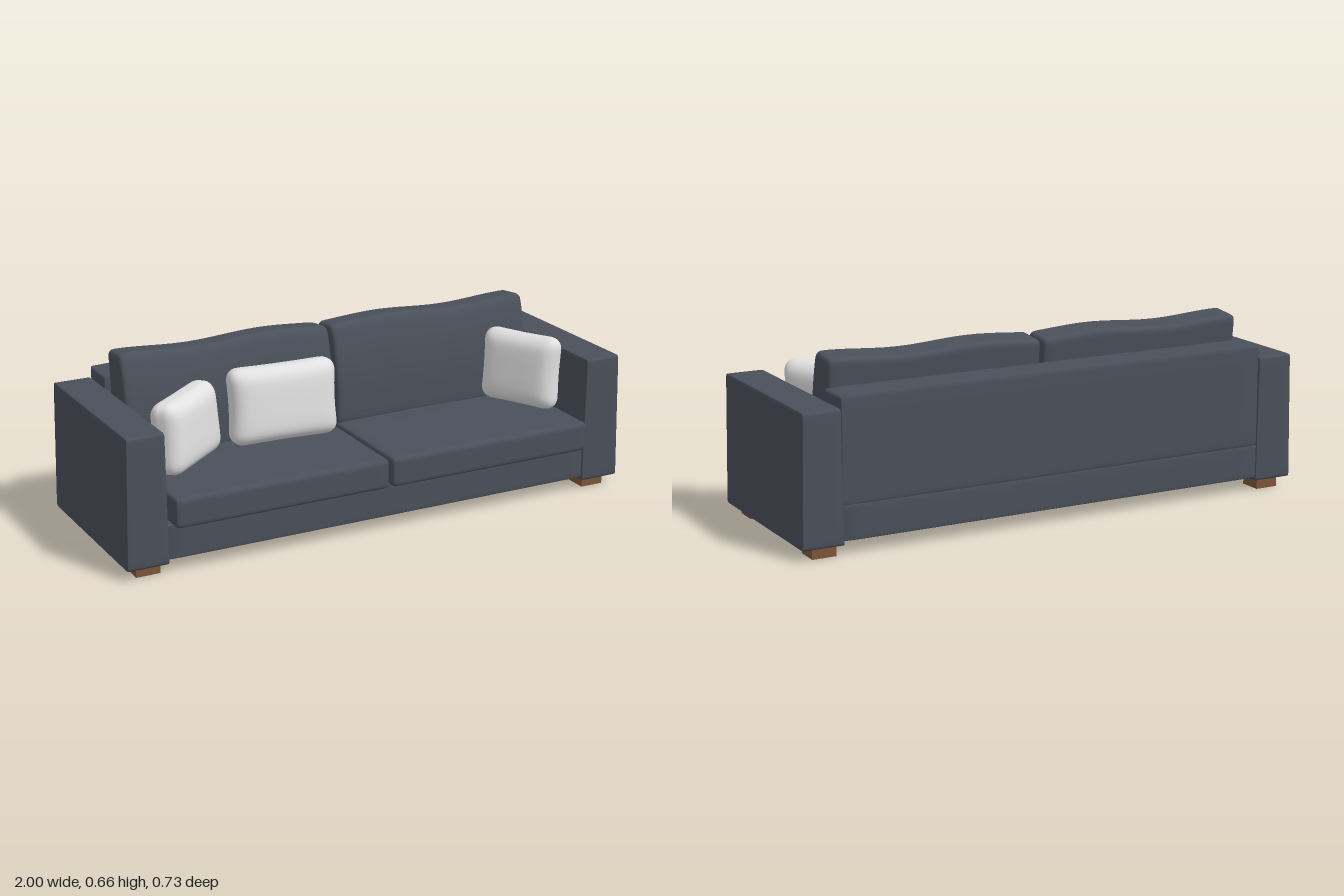
import * as THREE from 'three';
import { mergeVertices } from 'three/addons/utils/BufferGeometryUtils.js';

const material = (name, color) => {
  const m = new THREE.MeshStandardMaterial({ color });
  m.name = name;
  return m;
};

// Rounded box with a fine grid, so a rule can bend it afterwards
function softBox(w, h, d, r, rule, n = 20) {
  let g = new THREE.BoxGeometry(w, h, d, n, n, n);
  g.deleteAttribute('uv');
  g.deleteAttribute('normal');
  g = mergeVertices(g, 1e-5);
  const half = new THREE.Vector3(w / 2, h / 2, d / 2);
  const core = half.clone().subScalar(r);
  const low = core.clone().negate();
  const p = new THREE.Vector3(), inner = new THREE.Vector3();
  const pos = g.attributes.position;
  for (let i = 0; i < pos.count; i++) {
    p.fromBufferAttribute(pos, i);
    // crowd the grid lines towards the edges
    for (const k of ['x', 'y', 'z']) p[k] = half[k] * Math.sin((p[k] / half[k]) * Math.PI / 2);
    inner.copy(p).clamp(low, core);
    p.sub(inner).setLength(r).add(inner);
    if (rule) rule(p);
    pos.setXYZ(i, p.x, p.y, p.z);
  }
  g.computeVertexNormals();
  return g;
}

export function createModel() {
  const group = new THREE.Group();
  group.name = 'sofa';
  const fabric = material('slate fabric', 0x4a505a);
  const linen = material('white linen', 0xe0e0e0);
  const wood = material('brown wood', 0x7b5539);

  const add = (name, geometry, mat, x, y, z) => {
    const mesh = new THREE.Mesh(geometry, mat);
    mesh.name = name;
    mesh.position.set(x, y, z);
    group.add(mesh);
    return mesh;
  };

  // Base rail and back panel
  add('base', softBox(1.7, 0.13, 0.68, 0.008, null, 8), fabric, 0, 0.115, -0.022);
  add('backPanel', softBox(1.69, 0.382, 0.14, 0.008, null, 8), fabric, 0, 0.366, -0.293);

  for (const side of [-1, 1]) {
    const label = side > 0 ? 'left' : 'right';

    // Arm, narrowing slightly towards the top
    const arm = softBox(0.158, 0.477, 0.69, 0.008, (p) => {
      const t = p.y / 0.477 + 0.5;
      p.x *= 1 - 0.1 * t;
      p.x -= side * 0.003 * t;
      p.y += 0.005 * t * p.z;
    }, 10);
    add(label + 'Arm', arm, fabric, side * 0.92, 0.2765, -0.02);

    // Feet
    for (const [end, z] of [['Front', 0.25], ['Back', -0.3]]) {
      add(label + end + 'Foot', new THREE.BoxGeometry(0.09, 0.04, 0.087), wood, side * 0.91, 0.02, z);
    }

    // Seat cushion with a gently crowned top
    const seat = softBox(0.824, 0.112, 0.57, 0.018, (p) => {
      const crown = Math.cos(p.x / 0.824 * Math.PI) * Math.cos(p.z / 0.57 * Math.PI);
      if (p.y > 0) p.y += 0.008 * crown;
    });
    add(label + 'SeatCushion', seat, fabric, side * 0.418, 0.232, 0.08);

    // Back cushion: upright at the foot, leaning back above, with a wavy top
    const h = 0.375, d = 0.14;
    const back = softBox(0.824, h, d, 0.022, (p) => {
      const t = THREE.MathUtils.clamp(p.y / h + 0.5, 0, 1);
      const f = p.z / d + 0.5;
      const front = -0.058 - 0.055 * t ** 3;
      const rear = -0.2 - 0.033 * t;
      p.z = rear + (front - rear) * f;
      p.y += t * t * (0.014 * (f - 0.5) + 0.007 * Math.cos(p.x * 11 - side * 1.2 + Math.PI));
    }, 24);
    add(label + 'BackCushion', back, fabric, side * 0.418, 0.465, 0);
  }

  // Loose pillows: width, height, depth, position, turn, lean
  const pillows = [
    ['cornerPillow', 0.35, 0.265, 0.135, [-0.66, 0.425, 0.068], 0.68, -0.1],
    ['middlePillow', 0.42, 0.285, 0.13, [-0.255, 0.438, 0.003], -0.06, -0.1],
    ['armPillow', 0.325, 0.28, 0.115, [0.715, 0.438, 0.08], -1.1, -0.08],
  ];
  for (const [name, w, h, d, at, turn, lean] of pillows) {
    const geometry = softBox(w, h, d, 0.05, (p) => {
      const u = p.x / (w / 2), v = p.y / (h / 2);
      p.z *= 1 - 0.22 * u ** 4 - 0.22 * v ** 4;
      p.x *= 1 - 0.05 * (1 - v * v);
      p.y *= 1 - 0.03 * (1 - u * u);
    });
    const pillow = add(name, geometry, linen, ...at);
    pillow.rotation.set(lean, turn, 0, 'YXZ');
  }

  return group;
}
